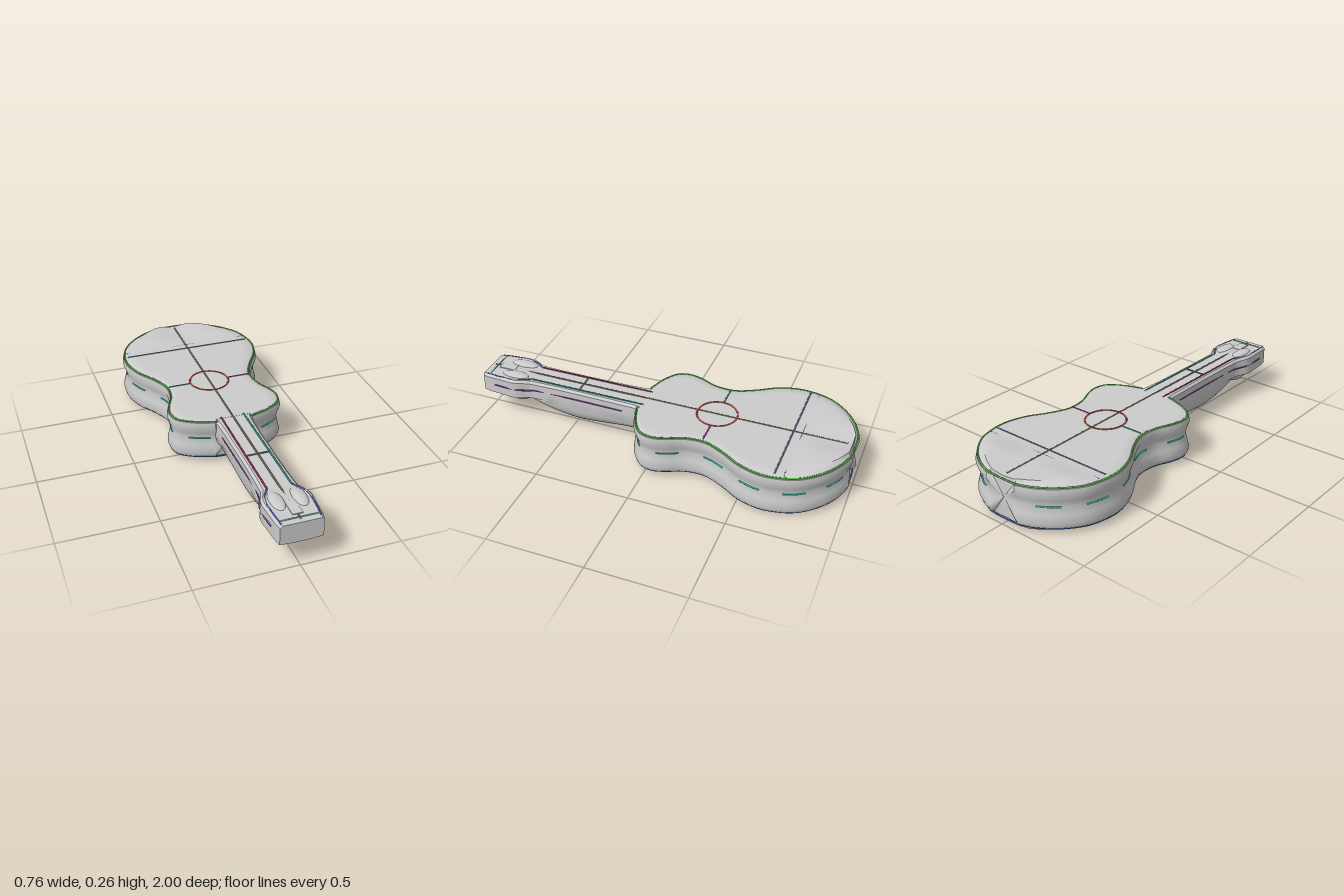
import * as THREE from 'three';
import { toCreasedNormals } from 'three/addons/utils/BufferGeometryUtils.js';

const V = (x, y, z) => new THREE.Vector3(x, y, z);
const grey = new THREE.MeshStandardMaterial({ color: 0xcccccc });

// Skin over rings that run counter-clockwise seen from +z, ordered towards +z; both ends closed
function loft(rings, crease = 0.6) {
  const n = rings[0].length, m = rings.length, index = [];
  const points = rings.flat();
  for (let i = 0; i < m - 1; i++) for (let j = 0; j < n; j++) {
    const k = (j + 1) % n, a = i * n + j, b = i * n + k;
    index.push(a, b, b + n, a, b + n, a + n);
  }
  for (const i of [0, m - 1]) {
    const c = points.length;
    points.push(rings[i].reduce((s, p) => s.add(p), V(0, 0, 0)).divideScalar(n));
    for (let j = 0; j < n; j++) {
      const a = i * n + j, b = i * n + (j + 1) % n;
      index.push(c, i ? a : b, i ? b : a);
    }
  }
  const g = new THREE.BufferGeometry().setFromPoints(points);
  g.setIndex(index);
  return toCreasedNormals(g, crease);
}

// Half outline of the body (half width, z)
const half = new THREE.CatmullRomCurve3([
  [0.09, -0.995], [0.17, -0.965], [0.265, -0.9], [0.345, -0.8], [0.376, -0.7], [0.38, -0.61],
  [0.348, -0.5], [0.288, -0.4], [0.245, -0.3], [0.25, -0.2], [0.287, -0.11], [0.302, -0.04],
  [0.283, 0.03], [0.21, 0.085], [0.1, 0.125],
].map(([x, z]) => V(x, 0, z)));

// Outline point moved inwards along its normal
function outline(t, inset) {
  const p = half.getPointAt(t), d = half.getTangentAt(t);
  return V(p.x - d.z * inset, 0, p.z + d.x * inset);
}

// Swelling of the two faces near the tail
function swell(x, z) {
  const s = THREE.MathUtils.smoothstep;
  return s(-z, 0.7, 0.84) * s(Math.abs(x), 0, 0.13) * (1 - s(Math.abs(x), 0.24, 0.37));
}

function bodyGeometry() {
  // (y, inset): waisted side wall with rounded rims
  const side = [[0.025, 0.026], [0.035, 0.008], [0.06, 0], [0.1, 0.01], [0.14, 0.02],
    [0.17, 0.014], [0.21, 0], [0.236, 0.006], [0.247, 0.024]];
  const rings = [], cols = 14;
  for (let i = 0; i <= 90; i++) {
    const right = side.map(([y, inset]) => outline(i / 90, inset).setY(y));
    const left = right.map(p => V(-p.x, p.y, p.z)).reverse();
    const face = (from, to, dir) => Array.from({ length: cols - 1 }, (_, k) => {
      const p = from.clone().lerp(to, (k + 1) / cols);
      p.y += dir * swell(p.x, p.z);
      return p;
    });
    rings.push([...right, ...face(right.at(-1), left[0], 0.014),
      ...left, ...face(left.at(-1), right[0], -0.021)]);
  }
  return loft(rings);
}

// Neck and head section: a box above, a rounded belly below
function neckRing(z, w, belly, low, top, mid = 0.145) {
  const ring = [V(w, mid, z), V(w, 0.19, z), V(w, top - 0.012, z), V(w - 0.012, top, z),
    V(-w + 0.012, top, z), V(-w, top - 0.012, z), V(-w, 0.19, z), V(-w, mid, z)];
  for (let k = 0; k <= 16; k++) {
    const a = Math.PI * (1 + k / 16);
    ring.push(V(belly * Math.cos(a), mid - 0.004 + (mid - 0.004 - low) * Math.sin(a), z));
  }
  return ring;
}

// Stations are smoothed by a spline through each value
function neckGeometry(stations, steps) {
  const a = new THREE.CatmullRomCurve3(stations.map(([z, w, b]) => V(z, w, b)));
  const c = new THREE.CatmullRomCurve3(stations.map(([z, , , low, top]) => V(z, low, top)));
  return loft(Array.from({ length: steps + 1 }, (_, i) => {
    const p = a.getPoint(i / steps), q = c.getPoint(i / steps);
    return neckRing(p.x, p.y, p.z, q.y, q.z);
  }));
}

export function createModel() {
  const model = new THREE.Group();
  const add = (name, geometry, material = grey) => {
    const mesh = new THREE.Mesh(geometry, material);
    mesh.name = name;
    model.add(mesh);
    return mesh;
  };
  // Thin coloured trim along a list of points
  const trim = (name, color, points, closed = false, r = 0.0045) => {
    const path = points.length === 2 ? new THREE.LineCurve3(...points)
      : new THREE.CatmullRomCurve3(points, closed);
    add(name, new THREE.TubeGeometry(path, points.length === 2 ? 1 : points.length * 2, r, 6, closed),
      new THREE.MeshStandardMaterial({ color }));
  };

  add('body', bodyGeometry());
  // z, half width, belly half width, lowest y, top y
  add('neck', neckGeometry([
    [0.08, 0.1, 0.095, 0.06, 0.246], [0.14, 0.092, 0.09, 0.065, 0.246], [0.22, 0.089, 0.087, 0.058, 0.245],
    [0.35, 0.087, 0.086, 0.042, 0.245], [0.46, 0.086, 0.085, 0.034, 0.245], [0.57, 0.086, 0.085, 0.047, 0.245],
    [0.67, 0.088, 0.082, 0.078, 0.245], [0.76, 0.092, 0.07, 0.125, 0.245],
  ], 42));
  add('head', neckGeometry([
    [0.71, 0.085, 0.05, 0.125, 0.244], [0.75, 0.098, 0.06, 0.105, 0.247], [0.8, 0.119, 0.075, 0.075, 0.25],
    [0.84, 0.122, 0.077, 0.068, 0.25], [0.88, 0.118, 0.072, 0.085, 0.249], [0.92, 0.115, 0.06, 0.12, 0.248],
    [0.96, 0.112, 0.05, 0.138, 0.247], [1.0, 0.104, 0.05, 0.14, 0.245],
  ], 28));
  // Low pads and a raised tab on the head
  for (const s of [-1, 1]) {
    const pad = add('headPad', new THREE.SphereGeometry(1, 20, 10));
    pad.scale.set(0.035, 0.016, 0.075);
    pad.position.set(s * 0.055, 0.246, 0.83);
  }
  add('headTab', new THREE.BoxGeometry(0.05, 0.012, 0.09)).position.set(0, 0.246, 0.9);

  // Trim around the body at the top rim, the middle seam and the bottom rim
  const loop = (y, inset) => {
    const right = Array.from({ length: 61 }, (_, i) => outline(i / 60, inset).setY(y));
    return [...right, ...right.map(p => V(-p.x, y, p.z)).reverse()];
  };
  trim('topBinding', 0x55bb44, loop(0.241, 0.012), true);
  trim('bottomBinding', 0x3f66b5, loop(0.029, 0.016), true);
  const seam = loop(0.138, 0.019);
  for (let i = 2; i < seam.length - 6; i += 10) trim('seamDash', 0x35b5a5, seam.slice(i, i + 6));

  // Lines on the top
  const y = 0.246;
  trim('centreLine', 0x8c7a5c, [V(0, y, -0.95), V(0, y, 0.98)]);
  trim('bridgeLine', 0x5a7390, [V(-0.35, y, -0.68), V(0.35, y, -0.68)]);
  trim('bridgeEdge', 0x777777, [V(-0.35, y - 0.001, -0.725), V(0.35, y - 0.001, -0.725)], false, 0.003);
  trim('rightWaistLine', 0x338877, [V(-0.225, y, -0.285), V(-0.1, y, -0.285)]);
  trim('leftWaistLine', 0x993388, [V(0.1, y, -0.285), V(0.225, y, -0.285)]);
  const hole = add('soundHoleRing', new THREE.TorusGeometry(0.103, 0.005, 6, 48),
    new THREE.MeshStandardMaterial({ color: 0xb5503f }));
  hole.rotation.x = Math.PI / 2;
  hole.position.set(0, y, -0.285);
  trim('fretLine', 0x557788, [V(-0.06, y, 0.455), V(0.06, y, 0.455)]);
  trim('rightNeckLine', 0x993355, [V(-0.06, y, 0.09), V(-0.06, y, 0.73)]);
  trim('leftNeckLine', 0x339988, [V(0.06, y, 0.09), V(0.06, y, 0.73)]);

  // Head edge lines and neck side lines
  for (const s of [-1, 1]) {
    trim('headLine', 0x5555aa, [V(s * 0.06, y, 0.73), V(s * 0.09, 0.247, 0.78), V(s * 0.103, 0.247, 0.84),
      V(s * 0.101, 0.246, 0.92), V(s * 0.094, 0.244, 0.985)]);
    trim('neckSideLine', 0x884499, [V(s * 0.088, 0.195, 0.2), V(s * 0.086, 0.195, 0.46), V(s * 0.087, 0.195, 0.7),
      V(s * 0.119, 0.195, 0.8), V(s * 0.115, 0.195, 0.93)]);
  }
  trim('headEndLine', 0x66aa88, [V(-0.09, y, 0.965), V(0.09, y, 0.965)]);

  // Lines on the back
  trim('backCentreLine', 0x3f8a78, [V(0, 0.025, -0.96), V(0, 0.025, 0.09)]);
  trim('backWaistLine', 0x8a8a4a, [V(-0.22, 0.025, -0.285), V(0.22, 0.025, -0.285)]);
  trim('backCrossLine', 0x4f7a66, [V(-0.35, 0.025, -0.62), V(0.35, 0.025, -0.62)]);
  return model;
}
